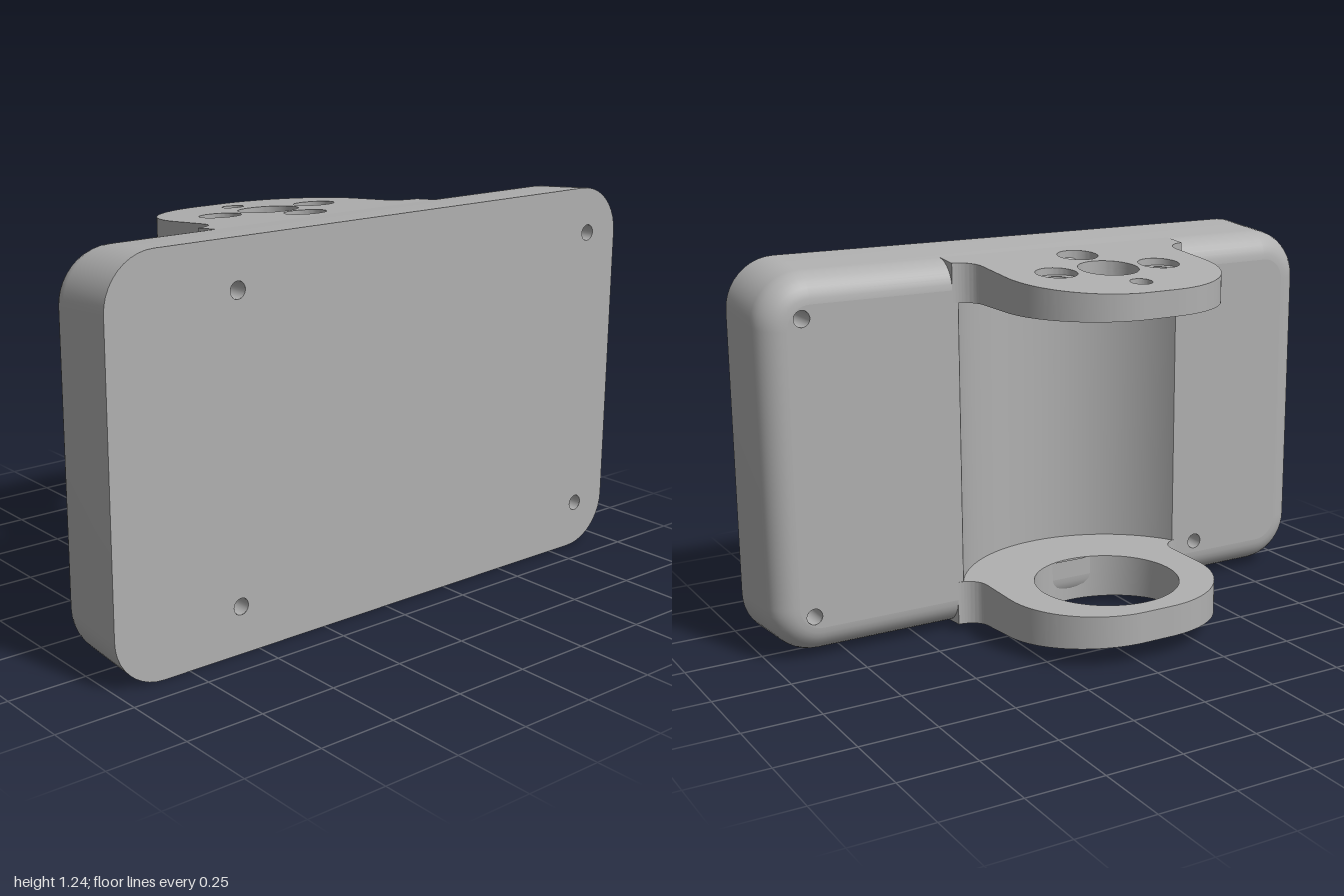
import * as THREE from 'three';
import { toCreasedNormals } from 'three/addons/utils/BufferGeometryUtils.js';

const BACK = 0.41, FACE = 0.12, ROUND = 0.085, CORNER = 0.16, MID = 0.62;
const EAR_X = -0.105, EAR_Z = 0.06;          // axis of the ears
const LOW = 0.17, HIGH = 1.09;               // inner faces of the ears
const RECESS_HALF = 0.41;
const RECESS_R = Math.hypot(FACE - EAR_X, RECESS_HALF);
const SCREWS = [[0.565, 0.15], [0.565, 1.09], [-0.868, 0.15], [-0.868, 1.09]];

// Half height of the tapered body at a given x
const halfHeight = (x) => MID - 0.083 * (BACK - x);
const topAt = (x) => MID + halfHeight(x);
const bottomAt = (x) => MID - halfHeight(x);

function circle(x, y, r) {
  const p = new THREE.Path();
  p.absarc(x, y, r, 0, Math.PI * 2, true);
  return p;
}

// Rounded rectangle in (z, y) at a given x and inset
function ring(x, inset) {
  const pts = [], r = CORNER - inset, n = 10;
  const w = 1 - CORNER, h = halfHeight(x) - CORNER;
  [[1, 1], [-1, 1], [-1, -1], [1, -1]].forEach(([sz, sy], k) => {
    for (let i = 0; i <= n; i++) {
      const a = (k + i / n) * Math.PI / 2;
      pts.push(new THREE.Vector2(sz * w + r * Math.cos(a), MID + sy * h + r * Math.sin(a)));
    }
  });
  return pts;
}

// Rounded rim of the plate, lofted from rings along x
function rimGeometry() {
  const rings = [];
  for (let i = 0; i <= 8; i++) {
    const a = (i / 8) * Math.PI / 2;
    const x = FACE + ROUND * (1 - Math.cos(a));
    rings.push([x, ring(x, ROUND * (1 - Math.sin(a)))]);
  }
  rings.push([BACK, ring(BACK, 0)]);
  const pos = [], idx = [], n = rings[0][1].length;
  rings.forEach(([x, pts]) => pts.forEach((p) => pos.push(x, p.y, p.x)));
  for (let j = 0; j < rings.length - 1; j++) {
    for (let i = 0; i < n; i++) {
      const a = j * n + i, b = j * n + (i + 1) % n, c = a + n, d = b + n;
      idx.push(a, b, c, b, d, c);
    }
  }
  const g = new THREE.BufferGeometry();
  g.setAttribute('position', new THREE.Float32BufferAttribute(pos, 3));
  g.setIndex(idx);
  return toCreasedNormals(g, 0.6);
}

// Flat face of the plate with screw holes; dir is +1 for +x, -1 for -x
function faceGeometry(x, inset, dir, window) {
  const shape = new THREE.Shape(ring(x, inset).map((p) => new THREE.Vector2(-dir * p.x, p.y)));
  SCREWS.forEach(([z, y]) => shape.holes.push(circle(-dir * z, y, 0.026)));
  if (window) {
    const a = EAR_Z - RECESS_HALF, b = EAR_Z + RECESS_HALF;
    shape.holes.push(new THREE.Path([[a, LOW], [b, LOW], [b, HIGH], [a, HIGH]]
      .map(([u, v]) => new THREE.Vector2(u, v))));
  }
  return new THREE.ShapeGeometry(shape, 24).rotateY(dir * Math.PI / 2).translate(x, 0, 0);
}

// Ear outline: rounded nose, straight sides, fillets into the plate
function earShape(holes) {
  const s = new THREE.Shape();
  s.moveTo(0.4, -0.43);
  s.lineTo(0.12, -0.43);
  s.absarc(0.05, -0.43, 0.07, 0, Math.PI / 2, false);
  s.absarc(EAR_X, -0.05, 0.31, -Math.PI / 2, -Math.PI, true);
  s.absarc(EAR_X, 0.05, 0.31, Math.PI, Math.PI / 2, true);
  s.absarc(0.05, 0.43, 0.07, -Math.PI / 2, 0, false);
  s.lineTo(0.4, 0.43);
  s.closePath();
  holes.forEach(([x, z, r]) => s.holes.push(circle(x, z, r)));
  return s;
}

// Extruded ear layer whose lower and upper faces follow functions of x
function earGeometry(holes, lower, upper) {
  const g = new THREE.ExtrudeGeometry(earShape(holes), { depth: 1, bevelEnabled: false, curveSegments: 28 });
  g.rotateX(-Math.PI / 2);
  const p = g.attributes.position;
  for (let i = 0; i < p.count; i++) {
    const x = p.getX(i);
    p.setY(i, p.getY(i) > 0.5 ? upper(x) : lower(x));
  }
  g.translate(0, 0, EAR_Z);
  return toCreasedNormals(g, 0.5);
}

export function createModel() {
  const model = new THREE.Group();
  model.name = 'mountingBracket';
  const grey = new THREE.MeshStandardMaterial({ color: 0xb0b0b0, side: THREE.DoubleSide });
  grey.name = 'grey';
  const add = (name, geometry) => {
    const mesh = new THREE.Mesh(geometry, grey);
    mesh.name = name;
    model.add(mesh);
    return mesh;
  };

  // Mounting plate
  add('plateRim', rimGeometry());
  add('plateBackFace', faceGeometry(BACK, 0, 1, false));
  add('plateInnerFace', faceGeometry(FACE, ROUND, -1, true));

  // Screw hole walls
  SCREWS.forEach(([z, y]) => {
    const g = new THREE.CylinderGeometry(0.026, 0.026, BACK - FACE, 24, 1, true);
    add('screwHole', g.rotateZ(Math.PI / 2).translate((BACK + FACE) / 2, y, z));
  });

  // Curved recess between the ears
  const half = Math.asin(RECESS_HALF / RECESS_R);
  const recess = new THREE.CylinderGeometry(RECESS_R, RECESS_R, HIGH - LOW, 32, 1, true,
    Math.PI / 2 - half, half * 2);
  add('recessWall', recess.translate(EAR_X, (HIGH + LOW) / 2, EAR_Z));

  // Upper ear: thin holes below, counterbores above
  const d = 0.187, floor = 1.18;
  const centre = [EAR_X, 0, 0.096];
  const nose = [EAR_X - d, 0, 0.035];
  const bolts = [[EAR_X + d, 0], [EAR_X, d], [EAR_X, -d]];
  add('upperEar', earGeometry([centre, nose, ...bolts.map((b) => [...b, 0.035])],
    () => HIGH, (x) => Math.min(floor, topAt(x) - 0.002)));
  add('upperEarCounterbores', earGeometry([centre, nose, ...bolts.map((b) => [...b, 0.066])],
    () => floor - 0.012, topAt));

  // Lower ear with one large opening
  add('lowerEar', earGeometry([[EAR_X, 0, 0.237]], bottomAt, () => LOW));

  return model;
}
